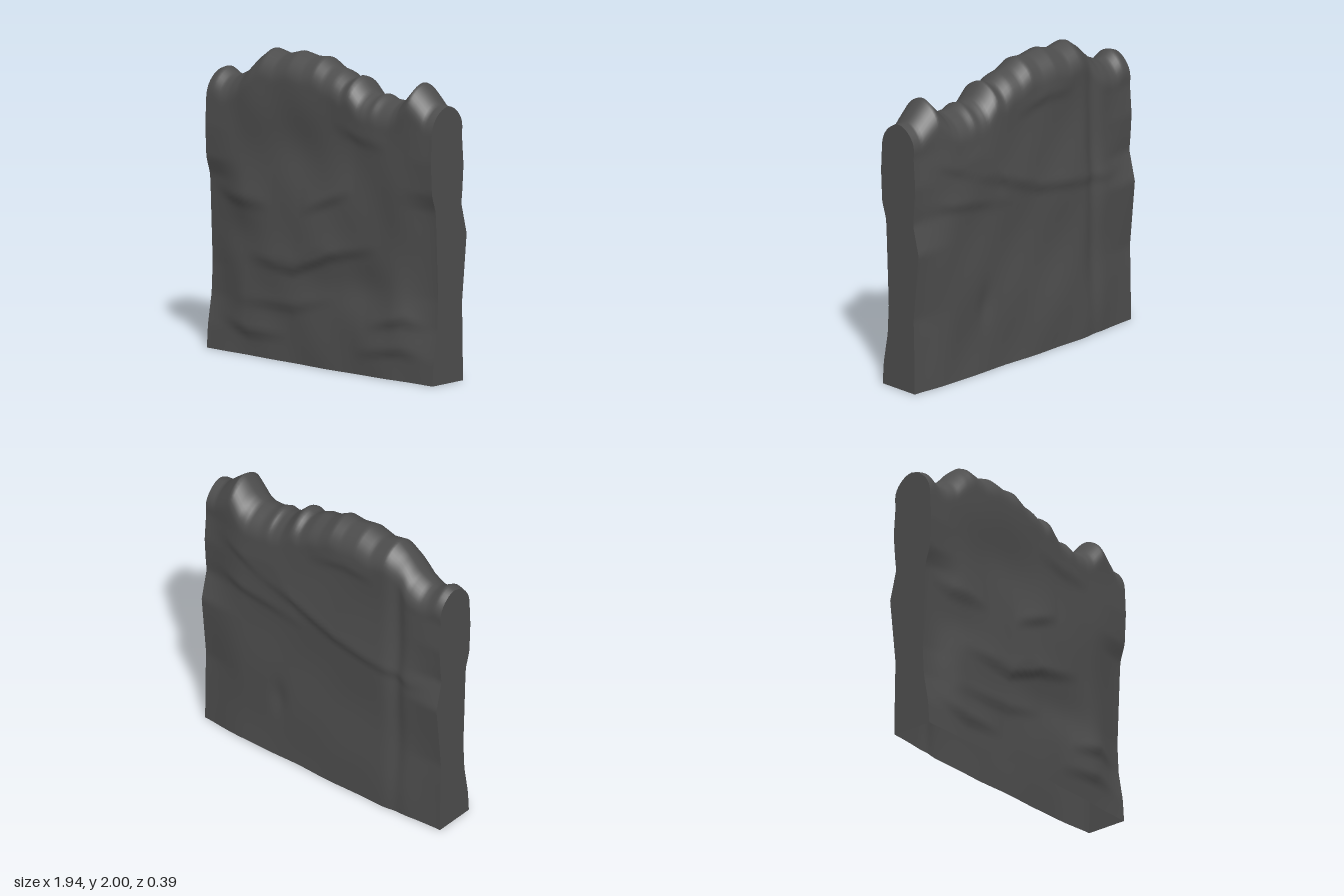
import * as THREE from 'three';

const HALF = 0.97, COLS = 110, ROWS = 60, ARC = 10, CAP = 0.17;

// Jagged crest line, as x and y pairs
const crest = [[-0.97, 1.8], [-0.92, 1.82], [-0.85, 1.78], [-0.8, 1.78], [-0.7, 1.83], [-0.6, 1.93],
  [-0.52, 1.99], [-0.4, 1.965], [-0.28, 2], [-0.16, 1.98], [-0.07, 1.99], [0.02, 1.94], [0.1, 1.925],
  [0.18, 1.88], [0.24, 1.91], [0.33, 1.82], [0.4, 1.8], [0.44, 1.815], [0.5, 1.79], [0.6, 1.79],
  [0.66, 1.82], [0.76, 1.93], [0.83, 1.87], [0.9, 1.805], [0.97, 1.8]];

// Each face: a base depth, the edge profile shared by both ends (y, depth),
// overhanging ledges (line points, then height) and hollows (x, y, radius x, radius y, depth)
const front = {
  sign: 1, base: 0.164, phase: 0.6,
  edge: [[0, 0.15], [0.15, 0.14], [0.35, 0.105], [0.55, 0.095], [0.8, 0.105], [1.05, 0.115], [1.13, 0.12],
    [1.24, 0.155], [1.45, 0.165], [1.66, 0.155], [2, 0.155]],
  ledges: [
    [[[-1.1, 1.1], [-0.75, 1.01], [-0.4, 1.0]], 0.03],
    [[[-0.15, 1.0], [0.05, 1.08], [0.3, 1.18]], 0.025],
    [[[-0.65, 0.66], [-0.2, 0.62], [0.1, 0.74], [0.52, 0.84]], 0.035],
    [[[-0.75, 0.36], [-0.2, 0.37], [0.15, 0.46]], 0.02],
    [[[-0.95, 0.25], [-0.6, 0.16], [-0.25, 0.17]], 0.025],
    [[[0.4, 0.32], [0.72, 0.4], [1.1, 0.32]], 0.03],
    [[[0.3, 0.14], [0.7, 0.2], [1.1, 0.15]], 0.025],
    [[[0.1, 1.6], [0.35, 1.53], [0.6, 1.5]], 0.015],
  ],
  hollows: [[-0.3, 1.4, 0.4, 0.22, 0.025], [0.3, 0.55, 0.35, 0.15, 0.02], [-0.75, 0.8, 0.3, 0.15, 0.02],
    [-0.75, 1.6, 0.15, 0.6, 0.008]],
};
const back = {
  sign: -1, base: 0.17, phase: 2.4,
  edge: [[0, 0.14], [0.36, 0.135], [0.5, 0.13], [0.7, 0.15], [0.95, 0.175], [1.15, 0.125], [1.25, 0.135],
    [1.4, 0.145], [1.6, 0.13], [1.7, 0.14], [2, 0.14]],
  ledges: [
    [[[-1.1, 1.12], [-0.74, 1.05], [-0.12, 1.14], [0.42, 1.37], [1.1, 1.62]], 0.025],
    [[[0.1, 1.1], [0.5, 1.18], [1.1, 1.28]], 0.02],
    [[[-0.45, 1.72], [-0.2, 1.74], [0.1, 1.68]], 0.02],
  ],
  hollows: [[-0.62, 1.3, 0.06, 1.2, 0.03], [-0.8, 1.1, 0.22, 1.2, 0.018], [0.35, 0.45, 0.06, 0.12, 0.015],
    [-0.1, 0.6, 0.5, 0.35, 0.012]],
};

function lineAt(points, x) {
  let i = 0;
  while (i < points.length - 2 && x > points[i + 1][0]) i++;
  const [a, b] = [points[i], points[i + 1]];
  return THREE.MathUtils.mapLinear(x, a[0], b[0], a[1], b[1]);
}

// Depth of a face: waves, ledges and hollows, easing into the edge profile at both ends
function faceDepth(x, y, { base, phase, edge, ledges, hollows }) {
  let z = base + 0.007 * Math.sin(4.1 * x + 2.3 * y + phase)
    + 0.005 * Math.sin(7.3 * y - 3.1 * x + 2 * phase) + 0.003 * Math.sin(13 * x + 9 * y + phase);
  for (const [points, height] of ledges) {
    const start = points[0][0], end = points[points.length - 1][0];
    if (x < start || x > end) continue;
    const d = y - lineAt(points, x);
    const taper = Math.sin(Math.PI * (x - start) / (end - start));
    z += height * taper * THREE.MathUtils.smoothstep(d, -0.06, 0.03) * Math.exp(-Math.max(d, 0) / 0.13);
  }
  for (const [cx, cy, rx, ry, depth] of hollows)
    z -= depth * Math.exp(-(((x - cx) / rx) ** 2) - ((y - cy) / ry) ** 2);
  const toEdge = THREE.MathUtils.smoothstep(Math.abs(x), 0.62, HALF);
  return THREE.MathUtils.lerp(Math.min(0.193, z), lineAt(edge, y), toEdge);
}

// One point of the section: straight wall rows, then the rounded crest
function sectionPoint(x, row, face) {
  const h = lineAt(crest, x), shoulder = h - CAP;
  const a = Math.max(0, row - ROWS) / ARC * Math.PI / 2;
  const y = row <= ROWS ? shoulder * row / ROWS : shoulder + CAP * Math.sin(a);
  return [x, y, face.sign * faceDepth(x, y, face) * Math.pow(Math.max(0, Math.cos(a)), 1.2)];
}

function section(x) {
  const loop = [], top = ROWS + ARC;
  for (let r = 0; r <= top; r++) loop.push(sectionPoint(x, r, front));
  for (let r = top - 1; r >= 0; r--) loop.push(sectionPoint(x, r, back));
  return loop;
}

// Smooth sheet through rows of points
function sheet(rows, flip = false) {
  const n = rows[0].length, index = [];
  for (let i = 0; i < rows.length - 1; i++) for (let j = 0; j < n - 1; j++) {
    const a = i * n + j, b = a + n, c = b + 1, d = a + 1;
    index.push(...(flip ? [a, c, b, a, d, c] : [a, b, c, a, c, d]));
  }
  const g = new THREE.BufferGeometry();
  g.setAttribute('position', new THREE.Float32BufferAttribute(rows.flat(2), 3));
  g.setIndex(index);
  g.computeVertexNormals();
  return g;
}

export function createModel() {
  const group = new THREE.Group();
  // The shell is open underneath, so its inside shows too
  const stone = new THREE.MeshStandardMaterial({ color: 0x4d4d4d, side: THREE.DoubleSide });
  stone.name = 'dark grey stone';
  const add = (name, geometry) => {
    const mesh = new THREE.Mesh(geometry, stone);
    mesh.name = name;
    group.add(mesh);
  };

  const sections = [];
  for (let i = 0; i <= COLS; i++) sections.push(section(-HALF + 2 * HALF * i / COLS));
  add('rockFaces', sheet(sections));

  // Flat cut ends join each front point to the back point at its level
  const cutEnd = (loop) => loop.slice(0, ROWS + ARC + 1).map((p, j) => [p, loop[loop.length - 1 - j]]);
  add('leftCutEnd', sheet(cutEnd(sections[COLS]), true));
  add('rightCutEnd', sheet(cutEnd(sections[0])));
  return group;
}
